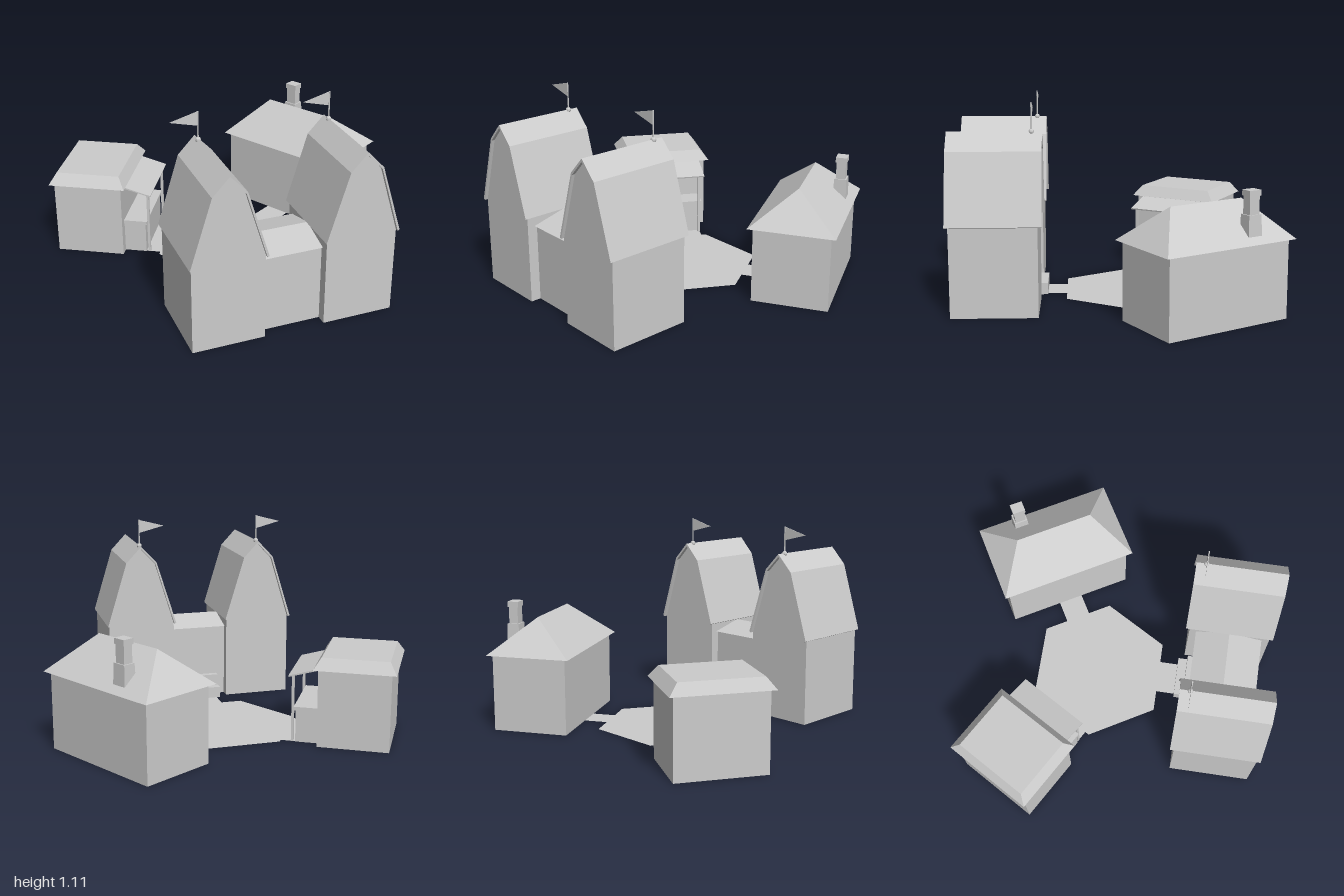
import * as THREE from 'three';

const mat = new THREE.MeshStandardMaterial({ color: 0xcccccc, flatShading: true, side: THREE.DoubleSide });
const TOP = 2, BOTTOM = 3; // face order of a box

function add(parent, name, geo, x = 0, y = 0, z = 0) {
  const m = new THREE.Mesh(geo, mat);
  m.name = name;
  m.position.set(x, y, z);
  parent.add(m);
  return m;
}

// Box standing on height y with some faces left out; its top is w1 x d1
function taper(parent, name, w0, d0, w1, d1, h, x, y, z, open = [BOTTOM]) {
  const geo = new THREE.BoxGeometry(1, h, 1);
  const p = geo.attributes.position;
  for (let i = 0; i < p.count; i++) {
    const top = p.getY(i) > 0;
    p.setX(i, p.getX(i) * (top ? w1 : w0));
    p.setZ(i, p.getZ(i) * (top ? d1 : d0));
  }
  geo.setIndex([...geo.index.array].filter((_, i) => !open.includes(Math.floor(i / 6))));
  geo.clearGroups();
  geo.computeVertexNormals();
  return add(parent, name, geo, x, y + h / 2, z);
}

const block = (parent, name, w, h, d, x, y, z) => taper(parent, name, w, d, w, d, h, x, y, z);
const walls = (parent, name, w, h, d, x, z) => taper(parent, name, w, d, w, d, h, x, 0, z, [TOP, BOTTOM]);

const paving = (parent, name, w, d, x, z) =>
  add(parent, name, new THREE.PlaneGeometry(w, d).rotateX(-Math.PI / 2), x, 0, z);

const outline = points => new THREE.Shape(points.map(([x, y]) => new THREE.Vector2(x, y)));
const extrude = (points, depth) =>
  new THREE.ExtrudeGeometry(outline(points), { depth, bevelEnabled: false });

// Flat ring under an overhanging roof
function eaves(parent, w, d, wallW, wallD, y, z) {
  const rect = (a, b) => [[-a / 2, -b / 2], [a / 2, -b / 2], [a / 2, b / 2], [-a / 2, b / 2]];
  const shape = outline(rect(w, d));
  shape.holes.push(outline(rect(wallW, wallD)));
  add(parent, 'eaves', new THREE.ShapeGeometry(shape).rotateX(Math.PI / 2), 0, y, z);
}

function group(parent, name, x, z, angle = 0) {
  const g = new THREE.Group();
  g.name = name;
  g.position.set(x, 0, z);
  g.rotation.y = angle;
  parent.add(g);
  return g;
}

// Tall barn with a two-slope roof and a pennant
function barn(parent, name, x) {
  const g = group(parent, name, x, 0);
  const gable = [[-0.195, 0], [0.195, 0], [0.195, 0.48], [0.085, 0.85], [0, 0.94], [-0.085, 0.85], [-0.195, 0.48]];
  add(g, 'frontGable', new THREE.ShapeGeometry(outline(gable)), 0, 0, 0.882);
  add(g, 'backGable', new THREE.ShapeGeometry(outline(gable)).rotateY(Math.PI), 0, 0, 0.422);
  for (const s of [-1, 1])
    add(g, 'sideWall', new THREE.PlaneGeometry(0.46, 0.48).rotateY(s * Math.PI / 2), s * 0.195, 0.24, 0.652);
  const outer = [[0.206, 0.485], [0.09, 0.86], [0, 0.955], [-0.09, 0.86], [-0.206, 0.485]];
  const inner = [[-0.195, 0.48], [-0.083, 0.85], [0, 0.938], [0.083, 0.85], [0.195, 0.48]];
  add(g, 'barnRoof', extrude([...outer, ...inner], 0.5), 0, 0, 0.4);
  add(g, 'finial', new THREE.SphereGeometry(0.015, 8, 6), 0, 0.953, 0.455);
  add(g, 'flagPole', new THREE.CylinderGeometry(0.004, 0.004, 0.155, 6), 0, 1.028, 0.455);
  add(g, 'flag', extrude([[0, 1.105], [-0.147, 1.066], [0, 1.028]], 0.003), 0, 0, 0.453);
}

export function createModel() {
  const model = new THREE.Group();
  model.name = 'farmyard';
  const CX = -0.017, CZ = -0.085;

  // Six-sided yard, centre of the paths
  add(model, 'yardPaving', new THREE.CircleGeometry(0.422, 6).rotateX(-Math.PI / 2), CX, 0, CZ);

  // Twin barns, joined by a low hall with steps
  barn(model, 'rightBarn', -0.374);
  barn(model, 'leftBarn', 0.345);
  const hall = group(model, 'hall', CX + 0.003, 0);
  walls(hall, 'hallWalls', 0.33, 0.43, 0.35, 0, 0.65);
  taper(hall, 'hallRoof', 0.33, 0.38, 0.33, 0, 0.05, 0, 0.43, 0.65);
  block(hall, 'lowerStep', 0.23, 0.065, 0.075, 0, 0, 0.425);
  block(hall, 'upperStep', 0.23, 0.13, 0.035, 0, 0, 0.458);
  paving(hall, 'barnPath', 0.19, 0.12, 0, 0.335);

  // Hip-roofed house, local +z pointing away from the yard
  const house = group(model, 'house', CX, CZ, Math.PI * 2 / 3);
  const hz = 0.706;
  paving(house, 'housePath', 0.145, 0.135, 0, 0.43);
  walls(house, 'houseWalls', 0.742, 0.426, 0.42, 0, hz);
  eaves(house, 0.8, 0.474, 0.742, 0.42, 0.426, hz);
  taper(house, 'houseRoof', 0.8, 0.474, 0.448, 0, 0.195, 0, 0.426, hz);
  const chimney = group(house, 'chimney', 0.16, hz + 0.16);
  taper(chimney, 'chimneyBase', 0.085, 0.075, 0.078, 0.066, 0.11, 0, 0.46, 0);
  block(chimney, 'chimneyShaft', 0.062, 0.095, 0.052, 0, 0.57, 0);
  block(chimney, 'chimneyCap', 0.072, 0.03, 0.062, 0, 0.665, 0);

  // Flat-topped cottage with a porch toward the yard
  const cottage = group(model, 'cottage', CX, CZ, -Math.PI * 2 / 3);
  paving(cottage, 'cottagePath', 0.37, 0.085, 0, 0.405);
  walls(cottage, 'cottageWalls', 0.486, 0.428, 0.385, 0, 0.762);
  eaves(cottage, 0.535, 0.436, 0.486, 0.385, 0.428, 0.762);
  taper(cottage, 'cottageRoof', 0.535, 0.436, 0.44, 0.36, 0.062, 0, 0.428, 0.762);
  block(cottage, 'porchBase', 0.38, 0.18, 0.125, 0, 0, 0.508);
  block(cottage, 'porchDeck', 0.4, 0.02, 0.135, 0, 0.18, 0.503);
  const porchRoof = add(cottage, 'porchRoof', new THREE.BoxGeometry(0.42, 0.008, 0.17), 0, 0.395, 0.488);
  porchRoof.rotation.x = -0.28;
  for (const s of [-1, 1])
    block(cottage, 'porchPost', 0.014, 0.37, 0.014, s * 0.18, 0, 0.428);

  return model;
}
